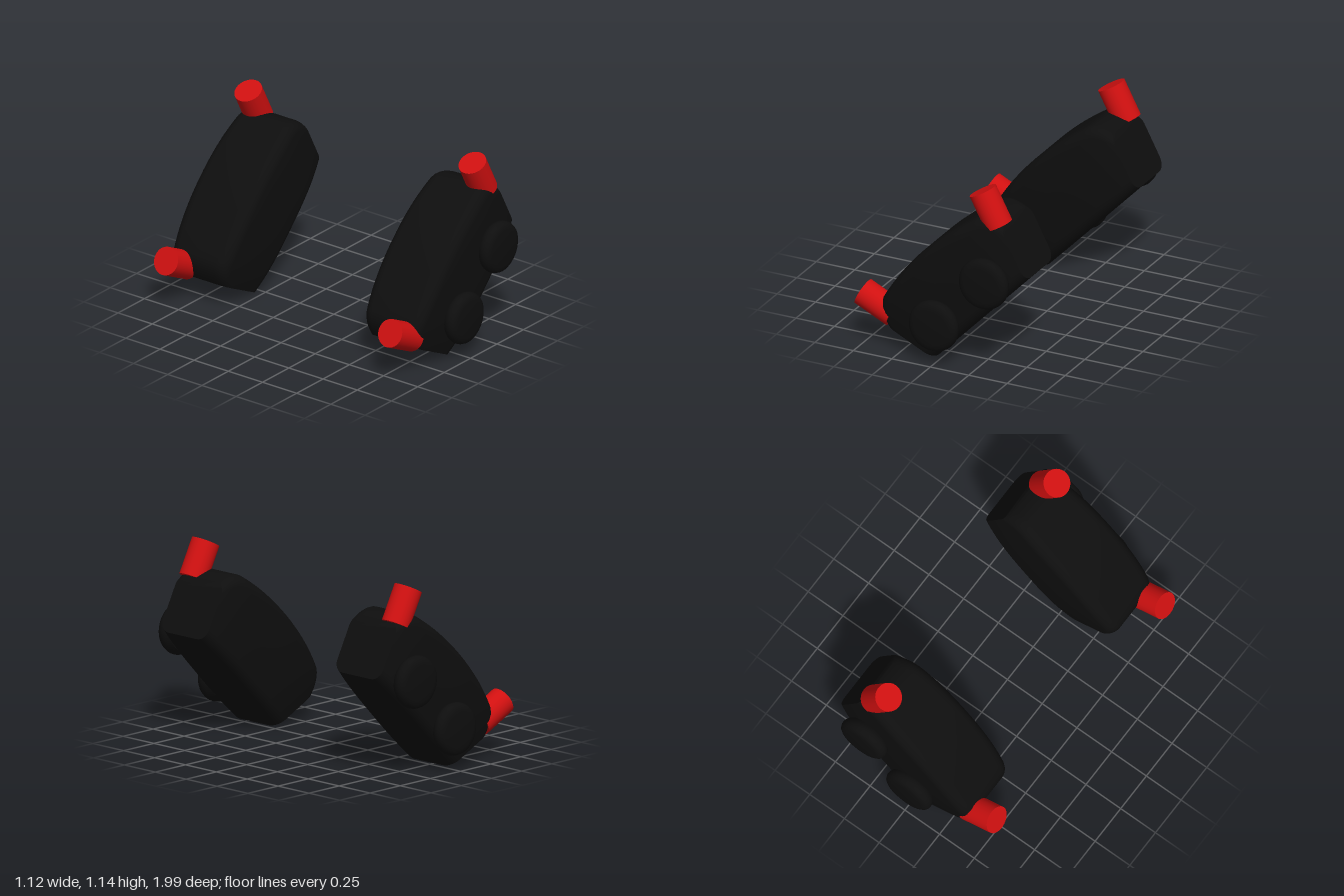
import * as THREE from 'three';
import { toCreasedNormals } from 'three/addons/utils/BufferGeometryUtils.js';

const black = new THREE.MeshStandardMaterial({ color: 0x0e0e0e });
black.name = 'black';
const red = new THREE.MeshStandardMaterial({ color: 0xd01010 });
red.name = 'red';

// Arc-shaped housing: rounded-rectangle sections swept about a far centre
function housingGeometry() {
  const cx = 1.195, cy = -0.594, steps = 32, seg = 6;
  const mid = THREE.MathUtils.degToRad(135.95), half = THREE.MathUtils.degToRad(18.25);
  const chord = 1.366 * Math.cos(half);
  const n = 4 * (seg + 1);
  const pos = [], idx = [];
  const add = (r, z, a) => pos.push(cx + r * Math.cos(a), cy + r * Math.sin(a), z);

  for (let i = 0; i <= steps; i++) {
    const u = Math.sin((i / steps - 0.5) * Math.PI); // denser towards the ends
    const a = mid + u * half;
    const inner = chord / Math.cos(u * half); // straight inner edge
    const outer = 1.815 - 0.095 * Math.max(0, (Math.abs(u) - 0.76) / 0.24) ** 2;
    const w = 0.222 - 0.036 * Math.abs(u) ** 3;
    const rc = (inner + outer) / 2, h = (outer - inner) / 2, rad = 0.07;
    for (let c = 0; c < 4; c++) {
      const sz = c === 0 || c === 3 ? 1 : -1, sr = c < 2 ? 1 : -1;
      for (let k = 0; k <= seg; k++) {
        const t = (c + k / seg) * Math.PI / 2;
        add(rc + sr * (h - rad) + rad * Math.sin(t), sz * (w - rad) + rad * Math.cos(t), a);
      }
    }
  }
  for (let i = 0; i < steps; i++) {
    for (let j = 0; j < n; j++) {
      const a = i * n + j, b = i * n + (j + 1) % n;
      idx.push(a, b, b + n, a, b + n, a + n);
    }
  }
  // End caps
  for (let j = 1; j < n - 1; j++) {
    idx.push(0, j + 1, j);
    const e = steps * n;
    idx.push(e, e + j, e + j + 1);
  }
  const g = new THREE.BufferGeometry();
  g.setAttribute('position', new THREE.Float32BufferAttribute(pos, 3));
  g.setIndex(idx);
  return toCreasedNormals(g, 0.7);
}

// Piston cap: a disc with softened rims
function pistonGeometry() {
  const profile = [[0, -0.05], [0.13, -0.05], [0.15, -0.025], [0.157, -0.005],
    [0.156, 0.012], [0.148, 0.03], [0.132, 0.041], [0.11, 0.045], [0, 0.045]];
  const g = new THREE.LatheGeometry(profile.map(p => new THREE.Vector2(...p)), 40);
  return toCreasedNormals(g, 0.6);
}

export function createModel() {
  const model = new THREE.Group();
  model.name = 'brakeCalipers';
  const housing = housingGeometry(), piston = pistonGeometry();
  const pin = new THREE.CylinderGeometry(0.084, 0.084, 0.225, 36);

  // One caliper on each side, pistons facing outwards
  for (const s of [1, -1]) {
    const caliper = new THREE.Group();
    caliper.name = s > 0 ? 'frontCaliper' : 'backCaliper';
    const add = (geometry, material, name, x, y, z) => {
      const mesh = new THREE.Mesh(geometry, material);
      mesh.name = name;
      mesh.position.set(x, y, s * z);
      caliper.add(mesh);
      return mesh;
    };
    add(housing, black, 'housing', 0, 0, 0.705);
    add(piston, black, 'lowerPiston', 0, 0.245, 0.952).rotation.x = s * Math.PI / 2;
    add(piston, black, 'upperPiston', 0.325, 0.58, 0.952).rotation.x = s * Math.PI / 2;
    // Mounting pins, square to the arc ends
    add(pin, red, 'lowerPin', -0.427, 0.252, 0.82).rotation.z = Math.atan2(0.9, 0.436);
    add(pin, red, 'upperPin', 0.302, 1.005, 0.82).rotation.z = Math.atan2(0.465, 0.885);
    model.add(caliper);
  }
  return model;
}
